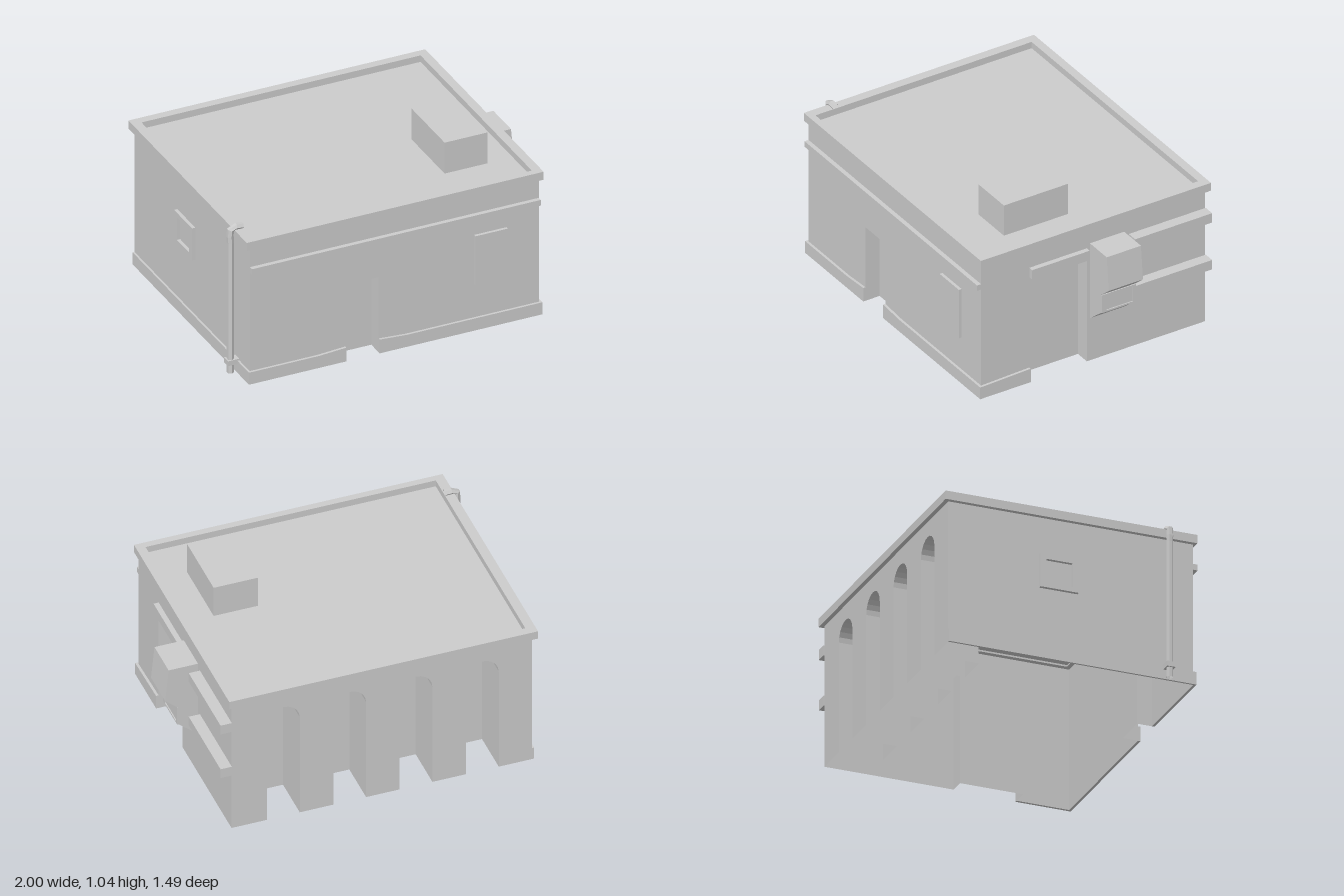
import * as THREE from 'three';

const material = new THREE.MeshStandardMaterial({ color: 0xcccccc, flatShading: true, side: THREE.DoubleSide });

function add(parent, name, geometry) {
  const mesh = new THREE.Mesh(geometry, material);
  mesh.name = name;
  parent.add(mesh);
  return mesh;
}

// Box given by its minimum and maximum corners
function block(parent, name, [x0, y0, z0], [x1, y1, z1]) {
  const mesh = add(parent, name, new THREE.BoxGeometry(x1 - x0, y1 - y0, z1 - z0));
  mesh.position.set((x0 + x1) / 2, (y0 + y1) / 2, (z0 + z1) / 2);
  return mesh;
}

function shapeOf(points) {
  return new THREE.Shape(points.map(([x, y]) => new THREE.Vector2(x, y)));
}

function extrude(parent, name, shape, depth) {
  return add(parent, name, new THREE.ExtrudeGeometry(shape, { depth, bevelEnabled: false }));
}

function rectangle(x0, y0, x1, y1, Type = THREE.Shape) {
  return new Type([[x0, y0], [x1, y0], [x1, y1], [x0, y1]].map(([x, y]) => new THREE.Vector2(x, y)));
}

// Opening outlines, from the lower left foot round to the lower right foot
const squareOpening = (x0, x1, top) => [[x0, 0], [x0, top], [x1, top], [x1, 0]];
function archOpening(x0, x1, spring, rise) {
  const points = [[x0, 0]];
  for (let i = 0; i <= 10; i++) {
    const a = Math.PI * (1 - i / 10);
    points.push([(x0 + x1) / 2 + Math.cos(a) * (x1 - x0) / 2, spring + Math.sin(a) * rise]);
  }
  points.push([x1, 0]);
  return points;
}

// Recess behind an opening: reveal surface and back panel
function recess(parent, name, outline, depth) {
  const positions = [];
  for (let i = 0; i < outline.length - 1; i++) {
    const [ax, ay] = outline[i], [bx, by] = outline[i + 1];
    positions.push(ax, ay, 0, ax, ay, -depth, bx, by, -depth);
    positions.push(ax, ay, 0, bx, by, -depth, bx, by, 0);
  }
  const geometry = new THREE.BufferGeometry();
  geometry.setAttribute('position', new THREE.Float32BufferAttribute(positions, 3));
  geometry.computeVertexNormals();
  add(parent, name + 'Reveal', geometry);
  add(parent, name + 'Panel', new THREE.ShapeGeometry(shapeOf(outline))).position.z = -depth;
}

// Single-skin wall in its own frame (local z points outward), with openings sorted left to right
function wall(parent, name, angle, x0, x1, openings, depth) {
  const group = new THREE.Group();
  group.name = name;
  group.rotation.y = angle;
  parent.add(group);
  add(group, name + 'Face', new THREE.ShapeGeometry(
    shapeOf([[x0, 0], ...openings.flat(), [x1, 0], [x1, 0.85], [x0, 0.85]])));
  openings.forEach((outline) => recess(group, name + 'Recess', outline, depth));
  return group;
}

export function createModel() {
  const model = new THREE.Group();
  model.name = 'building';

  // Front wall with doorway, plinth, band and shuttered window
  const front = wall(model, 'frontWall', 0, -0.93, 0.81, [squareOpening(-0.355, -0.155, 0.47)], 0.09);
  front.position.z = 0.72;
  extrude(front, 'frontPlinth', shapeOf([[-0.94, 0], [-0.355, 0], [-0.355, 0.086], [-0.52, 0.075], [-0.94, 0.075]]), 0.015);
  extrude(front, 'frontPlinth', shapeOf([[-0.155, 0], [0.825, 0], [0.825, 0.075], [0.01, 0.075], [-0.155, 0.086]]), 0.015);
  block(front, 'frontBand', [-0.93, 0.69, 0], [0.81, 0.725, 0.026]);
  block(front, 'windowShutter', [0.42, 0.28, 0], [0.615, 0.59, 0.018]);

  // Right wall with side doorway, lintel and ledges
  const right = wall(model, 'rightWall', Math.PI / 2, -0.72, 0.72, [squareOpening(-0.41, -0.04, 0.665)], 0.09);
  right.position.x = 0.81;
  extrude(right, 'rightPlinth', shapeOf([[-0.735, 0], [-0.41, 0], [-0.41, 0.086], [-0.72, 0.075], [-0.735, 0.075]]), 0.015);
  block(right, 'doorLintel', [-0.41, 0.665, 0], [-0.04, 0.725, 0.03]);
  for (const y of [0.365, 0.665]) block(right, 'ledge', [0.23, y, 0], [0.725, y + 0.06, 0.065]);

  // Hooded wall unit on the right side
  extrude(model, 'wallHood', shapeOf([[0.81, 0.27], [0.925, 0.365], [0.925, 0.48],
    [1.0, 0.545], [0.98, 0.75], [0.81, 0.75]]), 0.22).position.z = -0.2;
  const hoodRim = rectangle(-0.02, 0.365, 0.2, 0.48);
  hoodRim.holes.push(rectangle(0.01, 0.375, 0.18, 0.47, THREE.Path));
  extrude(right, 'hoodRim', hoodRim, 0.006).position.z = 0.115;

  // Back wall with a row of deep arched niches
  const arches = [];
  for (let i = 0; i < 4; i++) {
    const x = -0.605 + i * 0.384;
    arches.push(archOpening(x, x + 0.19, 0.655, 0.095));
  }
  const back = wall(model, 'backWall', Math.PI, -0.81, 0.93, arches, 0.26);
  back.position.z = -0.72;

  // Left wall with plinth and small framed window
  const left = wall(model, 'leftWall', -Math.PI / 2, -0.72, 0.72, [], 0);
  left.position.x = -0.93;
  block(left, 'leftPlinth', [-0.72, 0, 0], [0.735, 0.075, 0.012]);
  const frame = rectangle(-0.185, 0.42, 0.04, 0.62);
  frame.holes.push(rectangle(-0.15, 0.45, 0.005, 0.59, THREE.Path));
  extrude(left, 'windowFrame', frame, 0.02);

  // Parapet ring and sunken roof deck
  const parapet = rectangle(-0.955, -0.735, 0.832, 0.745);
  parapet.holes.push(rectangle(-0.9, -0.695, 0.78, 0.695, THREE.Path));
  const ring = extrude(model, 'parapet', parapet, 0.05);
  ring.rotation.x = -Math.PI / 2;
  ring.position.y = 0.84;
  const deck = add(model, 'roofDeck', new THREE.PlaneGeometry(1.74, 1.44));
  deck.rotation.x = -Math.PI / 2;
  deck.position.set(-0.06, 0.85, 0);

  // Roof box
  block(model, 'roofBox', [0.37, 0.85, 0.045], [0.628, 1.043, 0.457]);

  // Drainpipe hooked over the parapet
  const points = [[-0.9, 0.898], [-0.965, 0.903], [-0.976, 0.88], [-0.972, 0.82], [-0.972, 0]]
    .map(([x, y]) => new THREE.Vector3(x, y, 0.565));
  const path = new THREE.CurvePath();
  for (let i = 0; i < points.length - 1; i++) path.add(new THREE.LineCurve3(points[i], points[i + 1]));
  add(model, 'drainpipe', new THREE.TubeGeometry(path, 24, 0.02, 6));
  block(model, 'pipeCollar', [-0.998, 0.055, 0.54], [-0.93, 0.085, 0.59]);

  return model;
}
